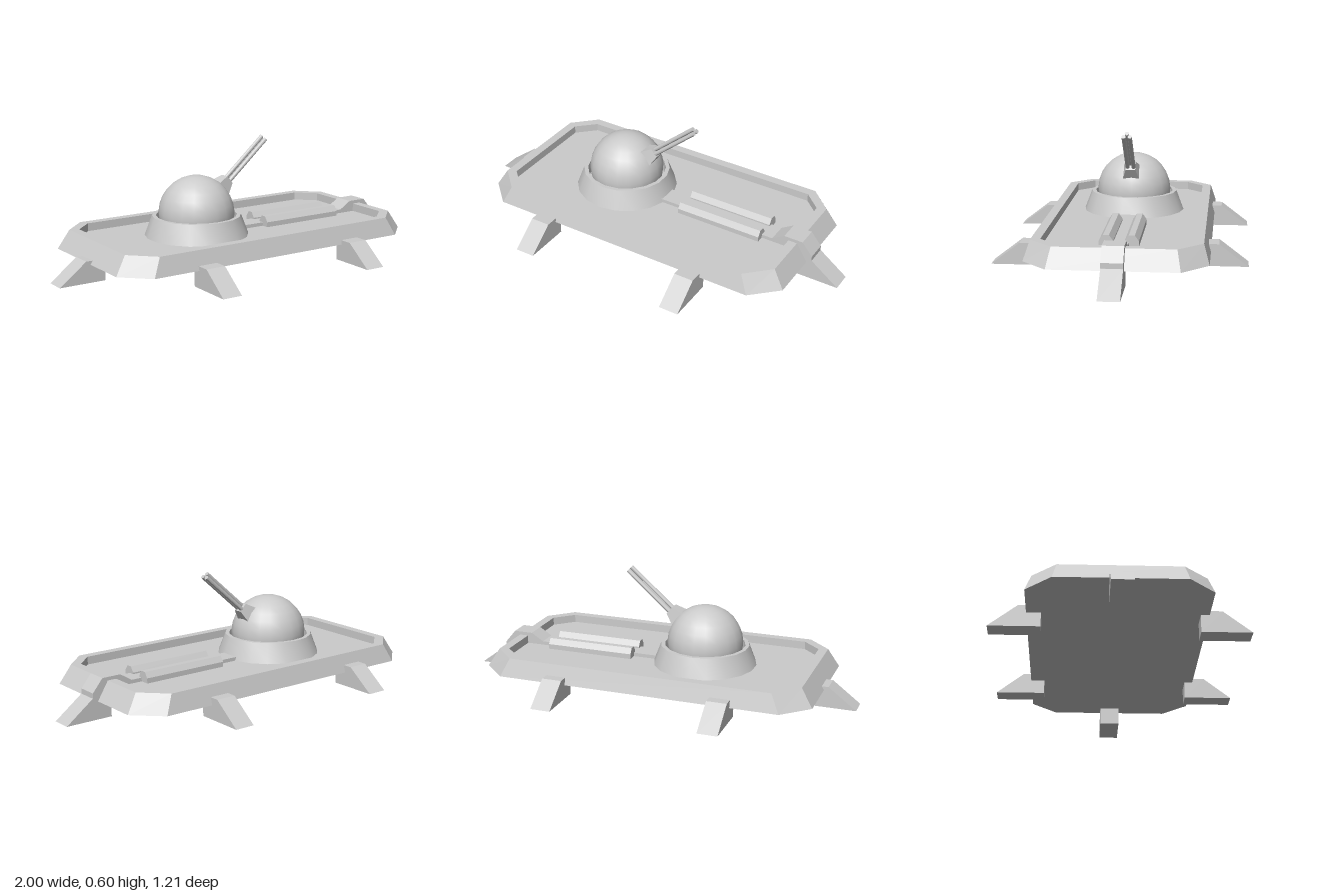
import * as THREE from 'three';
import { toCreasedNormals } from 'three/addons/utils/BufferGeometryUtils.js';

const MID_Z = -0.012;
const FLOOR = 0.137;

export function createModel() {
  const model = new THREE.Group();
  const grey = new THREE.MeshStandardMaterial({ color: 0xcccccc });
  const flat = new THREE.MeshStandardMaterial({ color: 0xcccccc, flatShading: true });

  const add = (name, geometry, material = flat, parent = model) => {
    const mesh = new THREE.Mesh(geometry, material);
    mesh.name = name;
    parent.add(mesh);
    return mesh;
  };

  // Outline in x and y, extruded to a width centred on z = 0
  const slab = (points, width) => {
    const shape = new THREE.Shape(points.map(([x, y]) => new THREE.Vector2(x, y)));
    return new THREE.ExtrudeGeometry(shape, { depth: width, bevelEnabled: false })
      .translate(0, 0, -width / 2);
  };

  // Hull: octagonal rings from the underside, over the rim, down to the deck
  const ring = (y, hx, hz, cx, cz) => [
    [hx, cz], [cx, hz], [-cx, hz], [-hx, cz], [-hx, -cz], [-cx, -hz], [cx, -hz], [hx, -cz],
  ].map(([x, z]) => [x - 0.004, y, z + MID_Z]);
  const rings = [
    ring(0.087, 0, 0, 0, 0),
    ring(0.087, 0.836, 0.42, 0.708, 0.298),
    ring(0.177, 0.78, 0.393, 0.665, 0.28),
    ring(0.177, 0.735, 0.348, 0.645, 0.262),
    ring(FLOOR, 0.735, 0.348, 0.645, 0.262),
    ring(FLOOR, 0, 0, 0, 0),
  ];
  const verts = [];
  for (let i = 0; i < rings.length - 1; i++) {
    for (let j = 0; j < 8; j++) {
      const k = (j + 1) % 8;
      const a = rings[i][j], b = rings[i][k], c = rings[i + 1][k], d = rings[i + 1][j];
      if (i > 0) verts.push(...a, ...d, ...b);
      if (i === 0) verts.push(...a, ...d, ...c);
      else if (i < rings.length - 2) verts.push(...b, ...d, ...c);
    }
  }
  const hull = new THREE.BufferGeometry();
  hull.setAttribute('position', new THREE.Float32BufferAttribute(verts, 3));
  hull.computeVertexNormals();
  add('hull', hull);

  // Wedge feet: one at each end, two on each long side
  const foot = (name, inner, crease, tip, x, y, z, turn) => {
    const profile = [[inner, 0], [tip, 0], [crease, 0.105], [inner, 0.105]];
    const mesh = add(name, slab(profile, 0.1));
    mesh.position.set(x, y, z);
    mesh.rotation.y = turn;
  };
  foot('leftEndFoot', 0.76, 0.86, 1, 0, 0, MID_Z, 0);
  foot('rightEndFoot', 0.765, 0.862, 1, 0, 0, MID_Z, Math.PI);
  for (const [side, x] of [['left', 0.405], ['right', -0.428]]) {
    foot(side + 'FrontFoot', 0.367, 0.468, 0.605, x, 0.003, 0, -Math.PI / 2);
    foot(side + 'BackFoot', 0.364, 0.47, 0.608, x, 0.018, 0, Math.PI / 2);
  }

  // Conduit from the turret along the deck and over the rim
  add('conduit', slab([
    [-0.02, FLOOR - 0.01], [0.7, FLOOR - 0.01], [0.78, 0.09], [0.858, 0.09], [0.858, 0.13],
    [0.805, 0.194], [0.708, 0.194], [0.645, 0.155], [-0.02, 0.155],
  ], 0.1)).position.z = MID_Z;

  // Faceted bars either side of the conduit
  for (const [name, z] of [['frontBar', 0.043], ['backBar', -0.075]]) {
    const section = [[-0.033, FLOOR - 0.005], [0.033, FLOOR - 0.005], [0.033, 0.162],
      [0.014, 0.189], [-0.014, 0.189], [-0.033, 0.162]];
    add(name, slab(section, 0.45).rotateY(Math.PI / 2)).position.set(0.364, 0, z);
  }

  // Turret: collar, dome and gun
  const turret = new THREE.Group();
  turret.name = 'turret';
  turret.position.set(-0.225, 0, -0.016);
  model.add(turret);

  const collar = [[0.258, FLOOR - 0.003], [0.22, 0.235], [0.2, 0.235], [0.195, 0.18], [0.15, 0.18]]
    .map(([r, y]) => new THREE.Vector2(r, y));
  add('turretCollar', toCreasedNormals(new THREE.LatheGeometry(collar, 18), 0.5),
    new THREE.MeshStandardMaterial({ color: 0xcccccc, side: THREE.DoubleSide }), turret);

  const dome = new THREE.SphereGeometry(0.188, 20, 10, 0, Math.PI * 2, 0, Math.PI * 0.7);
  add('dome', dome, grey, turret).position.y = 0.243;

  // Gun axis runs along local +x, starting at the dome surface
  const gun = new THREE.Group();
  gun.name = 'gun';
  gun.position.set(0.145, 0.362, 0.003);
  gun.rotation.z = 0.715;
  turret.add(gun);

  const mount = new THREE.CylinderGeometry(0.034, 0.07, 0.09, 4)
    .rotateY(Math.PI / 4).rotateZ(-Math.PI / 2);
  add('gunMount', mount, flat, gun).position.x = 0.003;

  const barrel = toCreasedNormals(
    new THREE.CylinderGeometry(0.0105, 0.0105, 0.32, 10).rotateZ(-Math.PI / 2), 0.9);
  for (const [name, y, z] of [['topBarrel', 0.011, 0], ['frontBarrel', -0.008, 0.015],
    ['backBarrel', -0.008, -0.015]]) {
    add(name, barrel, grey, gun).position.set(0.175, y, z);
  }

  return model;
}
